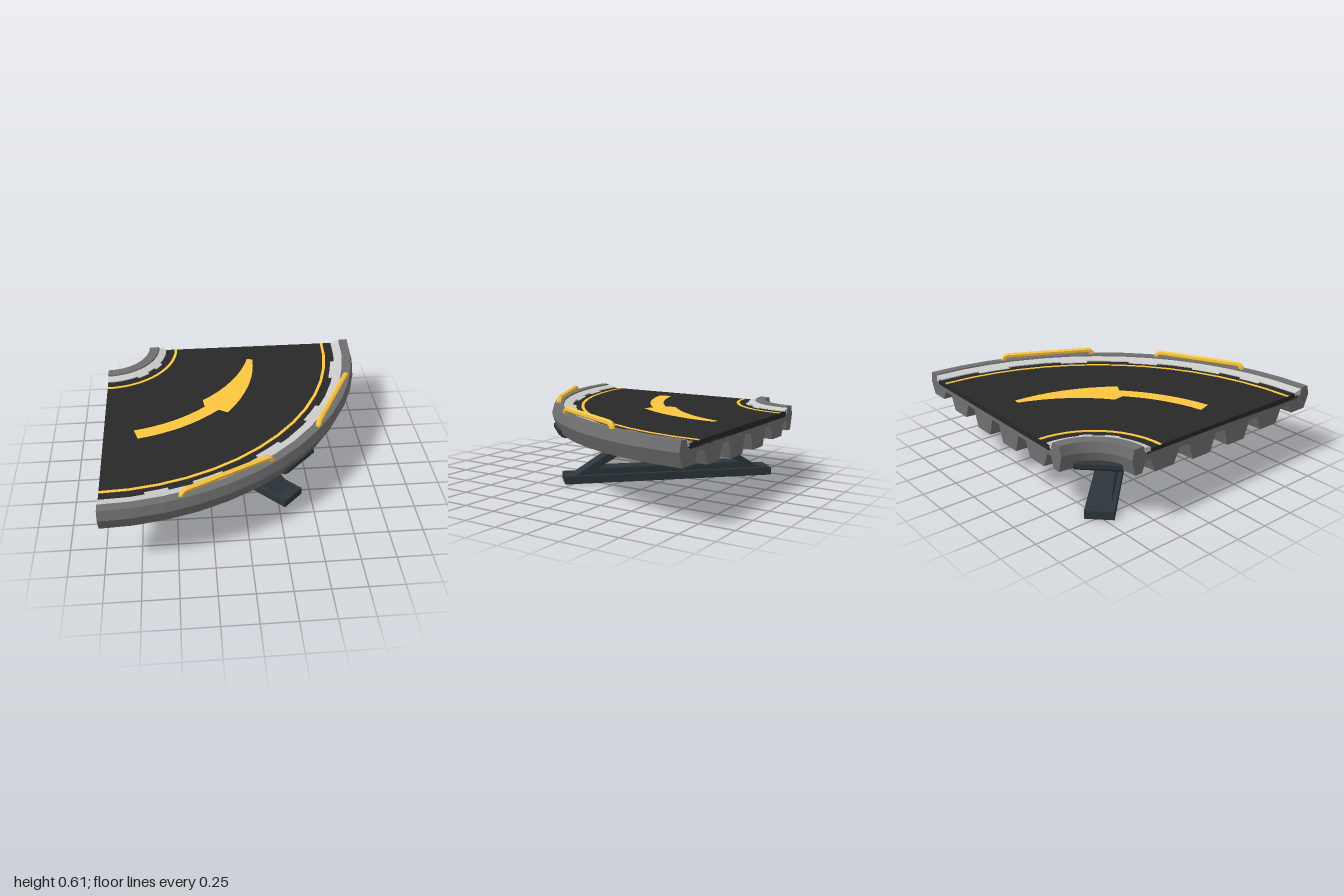
import * as THREE from 'three';

const DEG = Math.PI / 180;
const mat = (color) => new THREE.MeshStandardMaterial({ color, flatShading: true, side: THREE.DoubleSide });
const grey = mat(0x6f6f6f), light = mat(0xbfbfbf), dark = mat(0x282828), yellow = mat(0xfcc640), steel = mat(0x2c353a);

const toShape = (pts) => new THREE.Shape(pts.map(([x, y]) => new THREE.Vector2(x, y)));

function mesh(name, geometry, material) {
  const m = new THREE.Mesh(geometry, material);
  m.name = name;
  return m;
}

// Sweeps a closed counter-clockwise (radius, height) profile round the bend and caps both ends.
// Angle 0 points to +z, 90 to +x.
function sweep(name, profile, material, from = 0, to = 90, segments = 14) {
  const g = new THREE.Group();
  g.name = name;
  const pts = [...profile, profile[0]].map(([r, y]) => new THREE.Vector2(r, y));
  g.add(mesh(name + 'Body', new THREE.LatheGeometry(pts, segments, from * DEG, (to - from) * DEG), material));
  for (const a of [from, to]) {
    const cap = mesh(name + 'End', new THREE.ShapeGeometry(toShape(profile)), material);
    cap.rotation.y = a * DEG - Math.PI / 2;
    g.add(cap);
  }
  return g;
}

// Extrudes a side outline, centred on its width.
function plate(name, outline, width, material, holes = []) {
  const shape = toShape(outline);
  holes.forEach((h) => shape.holes.push(toShape(h)));
  const geo = new THREE.ExtrudeGeometry(shape, { depth: width, bevelEnabled: false });
  geo.translate(0, 0, -width / 2);
  return mesh(name, geo, material);
}

// Handrail with chamfered corners, standing on a chord of the outer rim.
function handrail(a, b, radius) {
  const p = [a, b].map((t) => new THREE.Vector3(radius * Math.sin(t * DEG), 0, radius * Math.cos(t * DEG)));
  const at = (t, y) => p[0].clone().lerp(p[1], t).setY(y);
  const pts = [at(0, 0.55), at(0.012, 0.578), at(0.045, 0.592), at(0.955, 0.592), at(0.988, 0.578), at(1, 0.55)];
  const path = new THREE.CurvePath();
  for (let i = 1; i < pts.length; i++) path.add(new THREE.LineCurve3(pts[i - 1], pts[i]));
  return mesh('handrail', new THREE.TubeGeometry(path, 60, 0.02, 6), yellow);
}

// Curved arrow lying on the belt, outlined in polar coordinates.
function arrow() {
  const pts = [];
  const arc = (a0, a1, r0, r1, n = 8) => {
    for (let i = 0; i <= n; i++) {
      const t = i / n, a = (a0 + (a1 - a0) * t) * DEG, r = r0 + (r1 - r0) * t;
      pts.push([r * Math.cos(a), -r * Math.sin(a)]);
    }
  };
  arc(78.5, 47, 1.235, 1.235);
  arc(46, 10.5, 1.31, 1.18);
  arc(10.5, 46.5, 1.135, 1.06);
  arc(49, 79, 1.13, 1.13);
  const geo = new THREE.ShapeGeometry(toShape(pts));
  geo.rotateX(-Math.PI / 2);
  geo.translate(0, 0.535, 0);
  return mesh('arrow', geo, yellow);
}

export function createModel() {
  const model = new THREE.Group();
  model.name = 'curvedConveyor';
  // All parts are built round the centre of the bend
  const bend = new THREE.Group();
  bend.name = 'bend';
  bend.position.set(-1, 0, -1);
  model.add(bend);

  // Tray with raised rims and four evenly spaced ribs underneath
  const ribs = [[0.67, 0.355], [1.0, 0.335], [1.33, 0.335], [1.66, 0.355]].flatMap(([r, y]) =>
    [[r - 0.21, 0.46], [r - 0.17, y], [r - 0.01, y], [r + 0.035, 0.46]]);
  bend.add(sweep('tray', [
    [1.96, 0.39], [2.0, 0.49], [1.98, 0.56], [1.915, 0.56], [1.9, 0.50],
    [0.42, 0.50], [0.4, 0.56], [0.325, 0.56], [0.31, 0.49], [0.335, 0.38],
    [0.39, 0.38], [0.42, 0.46], ...ribs, [1.78, 0.46], [1.82, 0.39],
  ], grey));

  // Belt and its edge stripes
  bend.add(sweep('belt', [[1.88, 0.49], [1.88, 0.53], [0.43, 0.53], [0.43, 0.49]], dark));
  for (const r of [0.54, 1.765]) {
    bend.add(sweep('edgeStripe', [[r + 0.011, 0.528], [r + 0.011, 0.534], [r - 0.011, 0.534], [r - 0.011, 0.528]], yellow));
  }

  // Light guard strips between belt and rims, with wider wear panels
  bend.add(sweep('outerGuard', [[1.91, 0.51], [1.91, 0.552], [1.845, 0.538], [1.845, 0.51]], light));
  bend.add(sweep('innerGuard', [[0.46, 0.51], [0.46, 0.538], [0.405, 0.552], [0.405, 0.51]], light));
  for (const [a, b] of [[9.5, 14.5], [20, 27], [36, 43], [53.5, 60], [73, 80.5]]) {
    bend.add(sweep('outerGuardPanel', [[1.87, 0.52], [1.87, 0.544], [1.815, 0.535], [1.815, 0.52]], light, a, b, 2));
  }
  for (const [a, b] of [[30, 42], [52, 62]]) {
    bend.add(sweep('innerGuardPanel', [[0.48, 0.52], [0.48, 0.535], [0.44, 0.543], [0.44, 0.52]], light, a, b, 2));
  }

  bend.add(arrow(), handrail(16.1, 36.9, 1.947), handrail(52.3, 73.3, 1.955));

  // Support stand along the diagonal of the bend
  const stand = new THREE.Group();
  stand.name = 'stand';
  stand.rotation.y = -Math.PI / 4;
  bend.add(stand);
  stand.add(plate('crossBeam', [
    [0.65, 0.30], [1.57, 0.30], [1.9, 0.358], [1.95, 0.365], [1.98, 0.39], [1.98, 0.42], [1.965, 0.43],
    [0.295, 0.43], [0.28, 0.42], [0.28, 0.39], [0.31, 0.365], [0.36, 0.355],
  ], 0.31, steel));

  // Truss with two upright openings and one inverted opening
  const c = 1.127;
  const side = (s) => [[c + s * 0.09, 0.105], [c + s * 0.55, 0.105], [c + s * 0.32, 0.245]];
  stand.add(plate('truss', [[c - 0.73, 0.05], [c + 0.73, 0.05], [c + 0.33, 0.305], [c - 0.33, 0.305]], 0.14, steel,
    [side(1), side(-1), [[c - 0.24, 0.265], [c + 0.24, 0.265], [c, 0.135]]]));

  const foot = mesh('foot', new THREE.BoxGeometry(1.605, 0.058, 0.2), steel);
  foot.position.set(c, 0.029, 0);
  stand.add(foot);
  return model;
}
